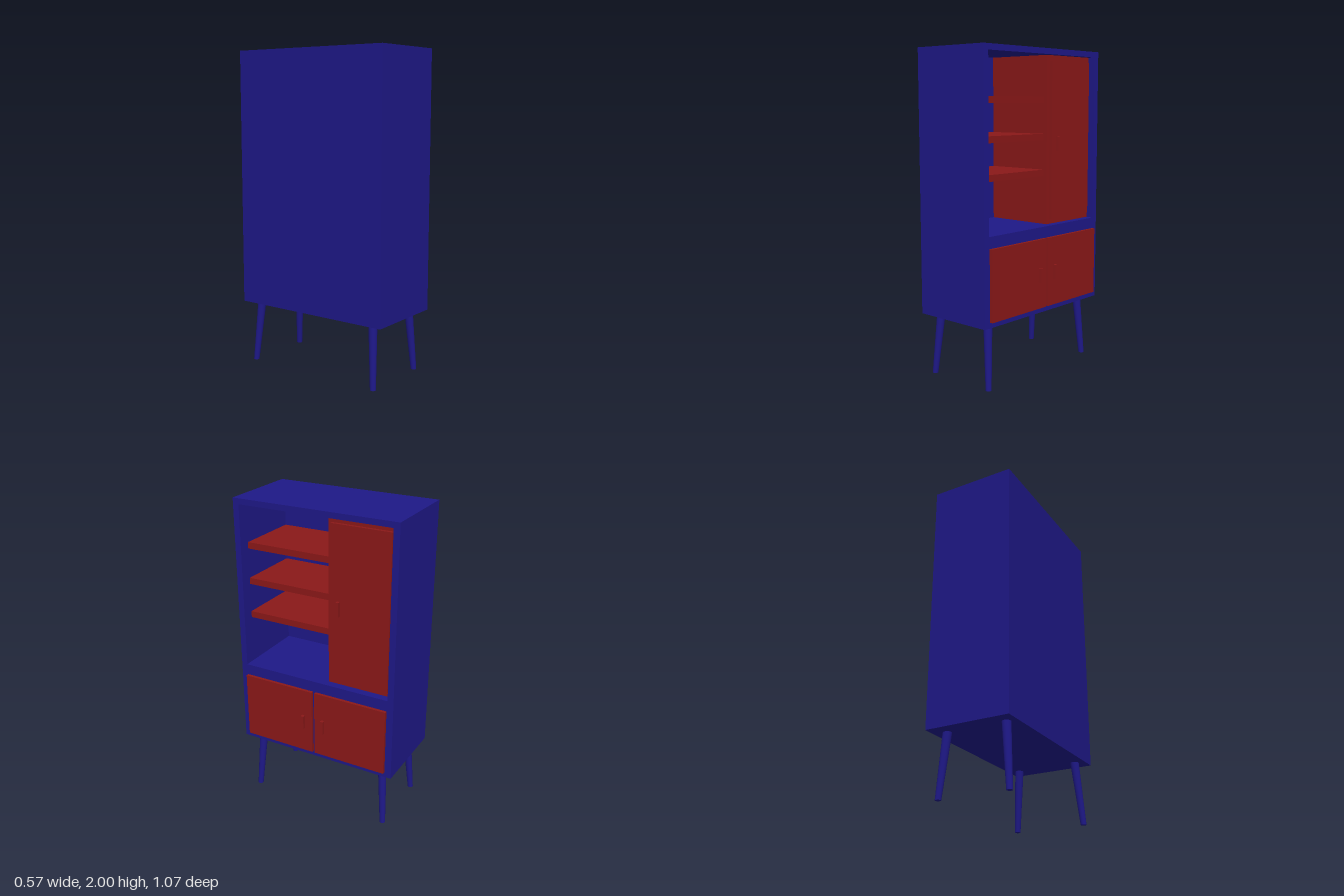
import * as THREE from 'three';

const blue = new THREE.MeshStandardMaterial({ color: 0x1e1887 });
const red = new THREE.MeshStandardMaterial({ color: 0x8a1818 });

// Box given by its ranges on each axis
function box(name, material, [x0, x1], [y0, y1], [z0, z1]) {
  const mesh = new THREE.Mesh(new THREE.BoxGeometry(x1 - x0, y1 - y0, z1 - z0), material);
  mesh.position.set((x0 + x1) / 2, (y0 + y1) / 2, (z0 + z1) / 2);
  mesh.name = name;
  return mesh;
}

function rectangle(target, u, y0, y1) {
  target.moveTo(-u, y0);
  target.lineTo(u, y0);
  target.lineTo(u, y1);
  target.lineTo(-u, y1);
  target.closePath();
  return target;
}

// Door leaf with its pull handle, standing proud of the plane at x
function door(name, x, ys, zs, handleY, handleZ) {
  const group = new THREE.Group();
  group.name = name;
  group.add(
    box('doorPanel', red, [x, x + 0.02], ys, zs),
    box('doorHandle', red, [x + 0.02, x + 0.04], [handleY - 0.045, handleY + 0.045], [handleZ - 0.01, handleZ + 0.01])
  );
  return group;
}

// Tapered leg, sheared so that both ends stay level
function leg(name, [topX, topZ], [footX, footZ]) {
  const height = 0.392;
  const geometry = new THREE.CylinderGeometry(0.027, 0.018, height, 20);
  geometry.translate(0, height / 2, 0);
  const kx = (topX - footX) / height;
  const kz = (topZ - footZ) / height;
  geometry.applyMatrix4(new THREE.Matrix4().set(
    1, kx, 0, footX,
    0, 1, 0, 0,
    0, kz, 1, footZ,
    0, 0, 0, 1
  ));
  const mesh = new THREE.Mesh(geometry, blue);
  mesh.name = name;
  return mesh;
}

export function createModel() {
  const cabinet = new THREE.Group();
  cabinet.name = 'cabinet';

  // Casing with the display opening, facing +x
  const outline = rectangle(new THREE.Shape(), 0.535, 0.39, 2);
  outline.holes.push(rectangle(new THREE.Path(), 0.496, 0.925, 1.965));
  const casingGeometry = new THREE.ExtrudeGeometry(outline, { depth: 0.5, bevelEnabled: false });
  casingGeometry.rotateY(Math.PI / 2).translate(-0.255, 0, 0);
  const casing = new THREE.Mesh(casingGeometry, blue);
  casing.name = 'casing';
  cabinet.add(casing, box('backPanel', blue, [-0.29, -0.255], [0.39, 2], [-0.535, 0.535]));

  // Tall cupboard set back inside the opening
  cabinet.add(
    box('tallCupboard', red, [-0.255, 0.195], [0.925, 1.965], [-0.496, -0.075]),
    door('tallDoor', 0.195, [0.957, 1.93], [-0.478, -0.1], 1.427, -0.151)
  );

  // Open shelves
  for (const y of [1.246, 1.468, 1.696]) {
    cabinet.add(box('shelf', red, [-0.255, 0.17], [y - 0.02, y + 0.02], [-0.075, 0.496]));
  }

  // Pair of lower doors
  cabinet.add(
    door('leftLowerDoor', 0.245, [0.425, 0.855], [0.009, 0.492], 0.635, 0.07),
    door('rightLowerDoor', 0.245, [0.425, 0.855], [-0.492, -0.009], 0.635, -0.07)
  );

  // Splayed legs
  for (const side of [1, -1]) {
    const topZ = side * 0.438;
    const footZ = side * 0.464;
    const shift = side > 0 ? 0 : -0.015;
    cabinet.add(
      leg('backLeg', [-0.221, topZ], [-0.255, footZ]),
      leg('frontLeg', [0.176 + shift, topZ], [0.204 + shift, footZ])
    );
  }

  return cabinet;
}
